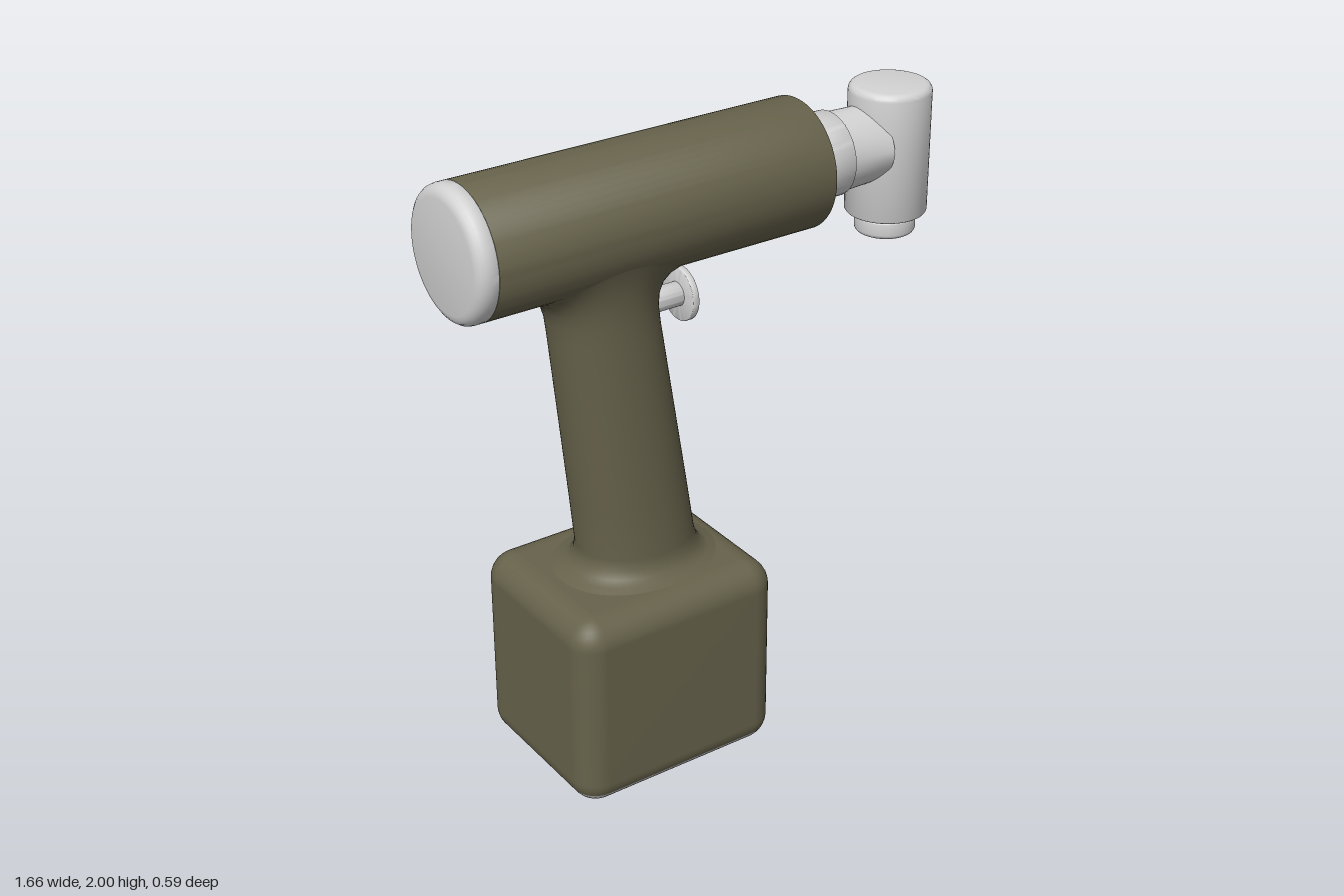
import * as THREE from 'three';
import { toCreasedNormals } from 'three/addons/utils/BufferGeometryUtils.js';

const olive = new THREE.MeshStandardMaterial({ color: 0x66624b });
olive.name = 'olive shell';
const silver = new THREE.MeshStandardMaterial({ color: 0xd2d2d2 });
silver.name = 'light grey metal';

// Skin a stack of closed rings ordered bottom to top, with optional flat caps
function loft(rings, capBottom = false, capTop = false) {
  const n = rings[0].length, pos = [], idx = [];
  rings.forEach(r => r.forEach(p => pos.push(...p)));
  for (let i = 0; i < rings.length - 1; i++) {
    for (let j = 0; j < n; j++) {
      const a = i * n + j, b = i * n + (j + 1) % n;
      idx.push(a, a + n, b, b, a + n, b + n);
    }
  }
  const cap = (ring, up) => {
    const start = pos.length / 3;
    ring.forEach(p => pos.push(...p));
    for (let j = 1; j < n - 1; j++) {
      if (up) idx.push(start, start + j + 1, start + j);
      else idx.push(start, start + j, start + j + 1);
    }
  };
  if (capBottom) cap(rings[0], false);
  if (capTop) cap(rings[rings.length - 1], true);
  const g = new THREE.BufferGeometry();
  g.setAttribute('position', new THREE.Float32BufferAttribute(pos, 3));
  g.setIndex(idx);
  g.computeVertexNormals();
  return g;
}

// Superellipse ring: centre cx, half widths a (x) and b (z), exponent e
function oval(cx, y, a, b, e = 2, n = 56) {
  return Array.from({ length: n }, (_, j) => {
    const t = j / n * Math.PI * 2, c = Math.cos(t), s = Math.sin(t);
    return [cx + a * Math.sign(c) * Math.abs(c) ** (2 / e), y, b * Math.sign(s) * Math.abs(s) ** (2 / e)];
  });
}

// Rounded rectangle ring
function roundRect(cx, y, a, b, r) {
  const ring = [];
  [[1, 1], [-1, 1], [-1, -1], [1, -1]].forEach(([sx, sz], q) => {
    for (let k = 0; k <= 8; k++) {
      const t = (q + k / 8) * Math.PI / 2;
      ring.push([cx + sx * (a - r) + r * Math.cos(t), y, sz * (b - r) + r * Math.sin(t)]);
    }
  });
  return ring;
}

// Solid of revolution with softened rims: radius r, from y0 to y1
function turned(r, y0, y1, bevel0, bevel1) {
  const pts = [new THREE.Vector2(0, y0)];
  for (let k = 0; k <= 4; k++) {
    const t = k / 4 * Math.PI / 2;
    pts.push(new THREE.Vector2(r - bevel0 + bevel0 * Math.sin(t), y0 + bevel0 - bevel0 * Math.cos(t)));
  }
  for (let k = 0; k <= 4; k++) {
    const t = k / 4 * Math.PI / 2;
    pts.push(new THREE.Vector2(r - bevel1 + bevel1 * Math.cos(t), y1 - bevel1 + bevel1 * Math.sin(t)));
  }
  pts.push(new THREE.Vector2(0, y1));
  return toCreasedNormals(new THREE.LatheGeometry(pts, 56), 0.6);
}

export function createModel() {
  const model = new THREE.Group();
  model.name = 'massageGun';
  const add = (name, geometry, material) => {
    const m = new THREE.Mesh(geometry, material);
    m.name = name;
    model.add(m);
    return m;
  };
  // Turned part lying along x at height y
  const addAlongX = (name, geometry, material, y) =>
    add(name, geometry.rotateZ(-Math.PI / 2).translate(0, y, 0), material);

  // Motor barrel and rear cap
  addAlongX('barrel', turned(0.2, -0.775, 0.355, 0.002, 0.008), olive, 1.8);
  addAlongX('rearCap', turned(0.2, -0.835, -0.775, 0.035, 0.002), silver, 1.8);

  // Drive neck: round collar, then a section with eased diagonals
  addAlongX('neckCollar', turned(0.13, 0.34, 0.48, 0.002, 0.004), silver, 1.8);
  const neckRings = [0, 0.25, 0.5, 0.75, 1].map(t => oval(0, 0.46 + 0.17 * t, 0.122, 0.122, 2 - 0.35 * t));
  addAlongX('neck', loft(neckRings), silver, 1.8);

  // Upright hammer head with its tip
  [['head', 0.127, 1.565, 1.975, 0.012, 0.022],
   ['tipNeck', 0.085, 1.55, 1.575, 0.002, 0.002],
   ['tip', 0.094, 1.5, 1.557, 0.014, 0.008]].forEach(([name, ...dims]) => {
    add(name, turned(...dims).translate(0.702, 0, 0), silver);
  });

  // Trigger button
  addAlongX('triggerStem', turned(0.037, -0.24, -0.065, 0.001, 0.001), silver, 1.487);
  addAlongX('triggerDisc', turned(0.084, -0.073, -0.051, 0.003, 0.003), silver, 1.487);

  // Handle, flared into the base below and wrapped onto the barrel above
  // [y, rear x, front x, half depth, wrap onto barrel]
  const sections = [
    [0.635, -0.530, 0.060, 0.245, 0],
    [0.652, -0.500, 0.025, 0.215, 0],
    [0.660, -0.470, -0.002, 0.192, 0],
    [0.675, -0.446, -0.022, 0.174, 0],
    [0.697, -0.431, -0.036, 0.161, 0],
    [0.730, -0.424, -0.046, 0.155, 0],
    [0.900, -0.441, -0.072, 0.152, 0],
    [1.200, -0.473, -0.119, 0.146, 0],
    [1.450, -0.500, -0.158, 0.141, 0],
    [1.510, -0.508, -0.165, 0.141, 0.1],
    [1.550, -0.521, -0.160, 0.143, 0.3],
    [1.577, -0.541, -0.145, 0.149, 0.55],
    [1.593, -0.567, -0.120, 0.158, 0.8],
    [1.600, -0.595, -0.090, 0.169, 0.97],
    [1.606, -0.620, -0.065, 0.177, 1],
  ];
  const handleRings = sections.map(([y, x0, x1, b, wrap]) =>
    oval((x0 + x1) / 2, y, (x1 - x0) / 2, b, 2.1).map(([x, yy, z]) =>
      [x, yy + wrap * (0.2 - Math.sqrt(0.04 - Math.min(z * z, 0.039))), z]));
  if (handleRings.length) add('handle', loft(handleRings), olive);

  // Battery base: rounded block with a grey sole
  const R = 0.085, H = 0.652, split = 0.045;
  const baseRing = y => {
    const d = Math.max(0, R - y, y - (H - R));
    const inset = R - Math.sqrt(Math.max(0, R * R - d * d));
    return roundRect(-0.257, y, 0.354 - inset, 0.296 - inset, Math.max(R - inset, 0.004));
  };
  const arc = (a0, a1, steps) => Array.from({ length: steps + 1 }, (_, k) => {
    const t = a0 + (a1 - a0) * k / steps;
    return R * (1 - Math.cos(t));
  });
  const splitAngle = Math.acos(1 - split / R);
  const soleHeights = arc(0, splitAngle, 6);
  const wallHeights = arc(splitAngle, Math.PI / 2, 4);
  const topHeights = arc(0, Math.PI / 2, 8).map(y => H - y).reverse();
  add('baseSole', loft(soleHeights.map(baseRing), true, false), silver);
  add('base', loft([...wallHeights, ...topHeights].map(baseRing), false, true), olive);

  return model;
}
